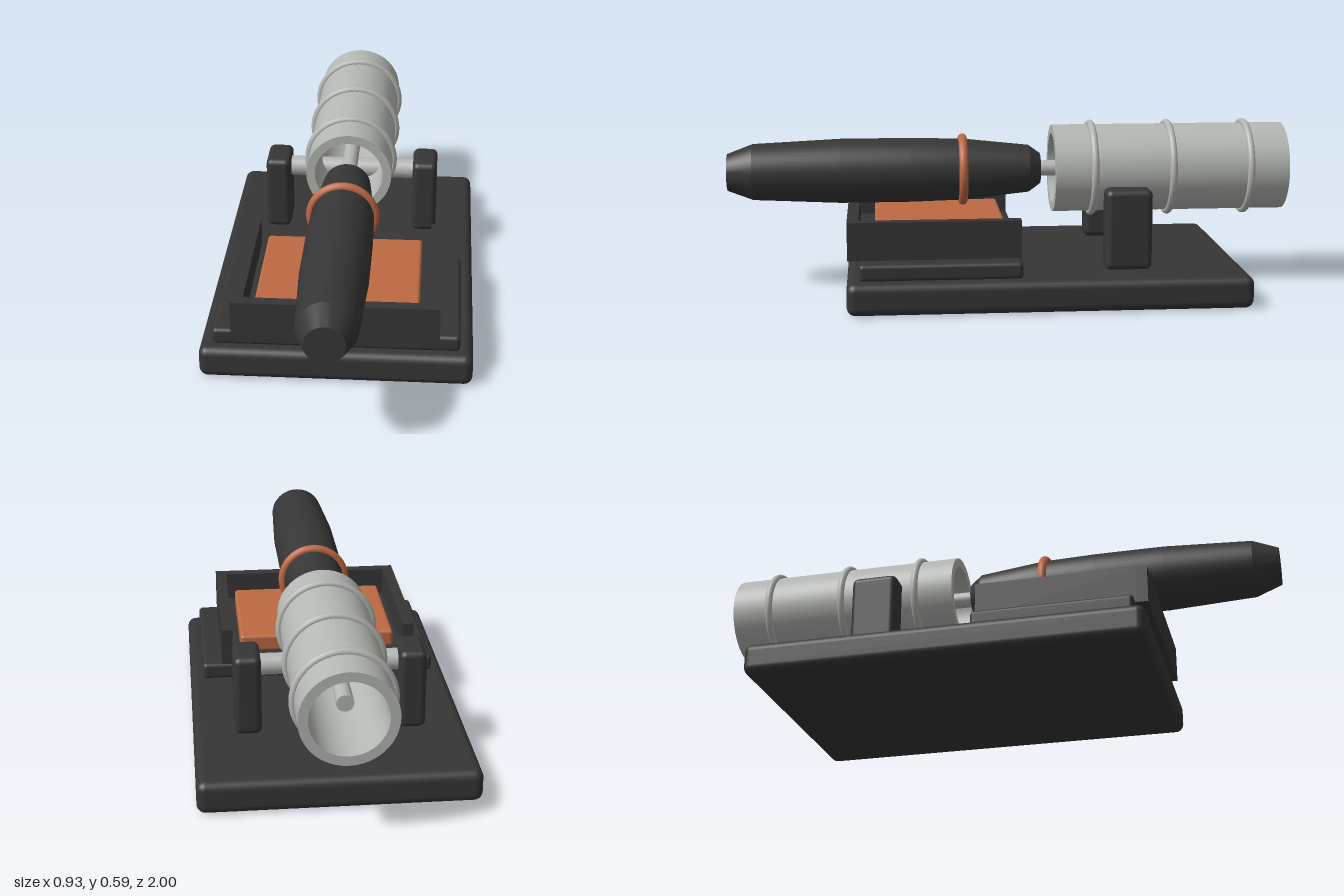
import * as THREE from 'three';
import { toCreasedNormals } from 'three/addons/utils/BufferGeometryUtils.js';
import { RoundedBoxGeometry } from 'three/addons/geometries/RoundedBoxGeometry.js';

export function createModel() {
  const model = new THREE.Group();
  const mat = (name, color) => {
    const m = new THREE.MeshStandardMaterial({ color });
    m.name = name;
    return m;
  };
  const dark = mat('charcoal', 0x363636);
  const grey = mat('paleGrey', 0xb4b7b3);
  const copper = mat('copper', 0xbd6843);
  const AXIS_Y = 0.42;

  const add = (name, geometry, material, x = 0, y = 0, z = 0) => {
    const mesh = new THREE.Mesh(geometry, material);
    mesh.name = name;
    mesh.position.set(x, y, z);
    model.add(mesh);
    return mesh;
  };
  // Box given by its limits on each axis, with optional rounded edges
  const box = (name, material, [x0, x1], [y0, y1], [z0, z1], r = 0) => {
    const size = [x1 - x0, y1 - y0, z1 - z0];
    const g = r ? new RoundedBoxGeometry(...size, 4, r) : new THREE.BoxGeometry(...size);
    return add(name, g, material, (x0 + x1) / 2, (y0 + y1) / 2, (z0 + z1) / 2);
  };
  // Profile of [radius, z] points, from back to front, turned about the z axis
  const turned = (name, material, profile) => {
    const pts = profile.map(([r, z]) => new THREE.Vector2(r, z));
    const g = new THREE.LatheGeometry(pts, 48).rotateX(Math.PI / 2);
    return add(name, toCreasedNormals(g, 0.3), material, 0, AXIS_Y, 0);
  };
  const ring = (name, material, radius, tube, z) =>
    add(name, new THREE.TorusGeometry(radius, tube, 12, 48), material, 0, AXIS_Y, z);

  // Base plate and step
  box('basePlate', dark, [-0.465, 0.465], [0, 0.112], [-0.81, 0.578], 0.03);
  box('trayStep', dark, [-0.42, 0.42], [0.11, 0.168], [-0.02, 0.535], 0.014);

  // Tray, open at the back, with its pad
  box('trayFloor', dark, [-0.31, 0.31], [0.168, 0.2], [-0.02, 0.535]);
  box('trayFrontWall', dark, [-0.35, 0.35], [0.168, 0.3], [0.535, 0.575]);
  for (const s of [-1, 1]) {
    const span = s > 0 ? [0.31, 0.35] : [-0.35, -0.31];
    box('traySideWall', dark, span, [0.168, 0.3], [-0.02, 0.535]);
  }
  box('pad', copper, [-0.28, 0.28], [0.195, 0.258], [0.02, 0.48], 0.012);

  // Posts and the cross axle
  for (const s of [-1, 1]) {
    const span = s > 0 ? [0.233, 0.325] : [-0.325, -0.233];
    box('post', dark, span, [0.11, 0.392], [-0.478, -0.315], 0.022);
  }
  add('axle', new THREE.CylinderGeometry(0.037, 0.037, 0.646, 32).rotateZ(Math.PI / 2),
    grey, 0, 0.337, -0.397);

  // Hollow barrel with raised bands
  turned('barrel', grey, [
    [0.125, -1], [0.157, -1], [0.157, -0.16], [0.125, -0.16], [0.125, -1],
  ]);
  for (const z of [-0.3, -0.58, -0.86]) ring('barrelBand', grey, 0.16, 0.013, z);

  // Rod joining the barrel and the body
  add('rod', new THREE.CylinderGeometry(0.028, 0.028, 0.8, 24).rotateX(Math.PI / 2),
    grey, 0, AXIS_Y, -0.49);

  // Tapered body with a copper collar
  turned('body', dark, [
    [0, -0.117], [0.055, -0.117], [0.085, -0.075], [0.11, 0.16], [0.115, 0.35],
    [0.115, 0.6], [0.1, 0.91], [0.066, 1], [0, 1],
  ]);
  ring('collar', copper, 0.113, 0.016, 0.163);

  return model;
}
